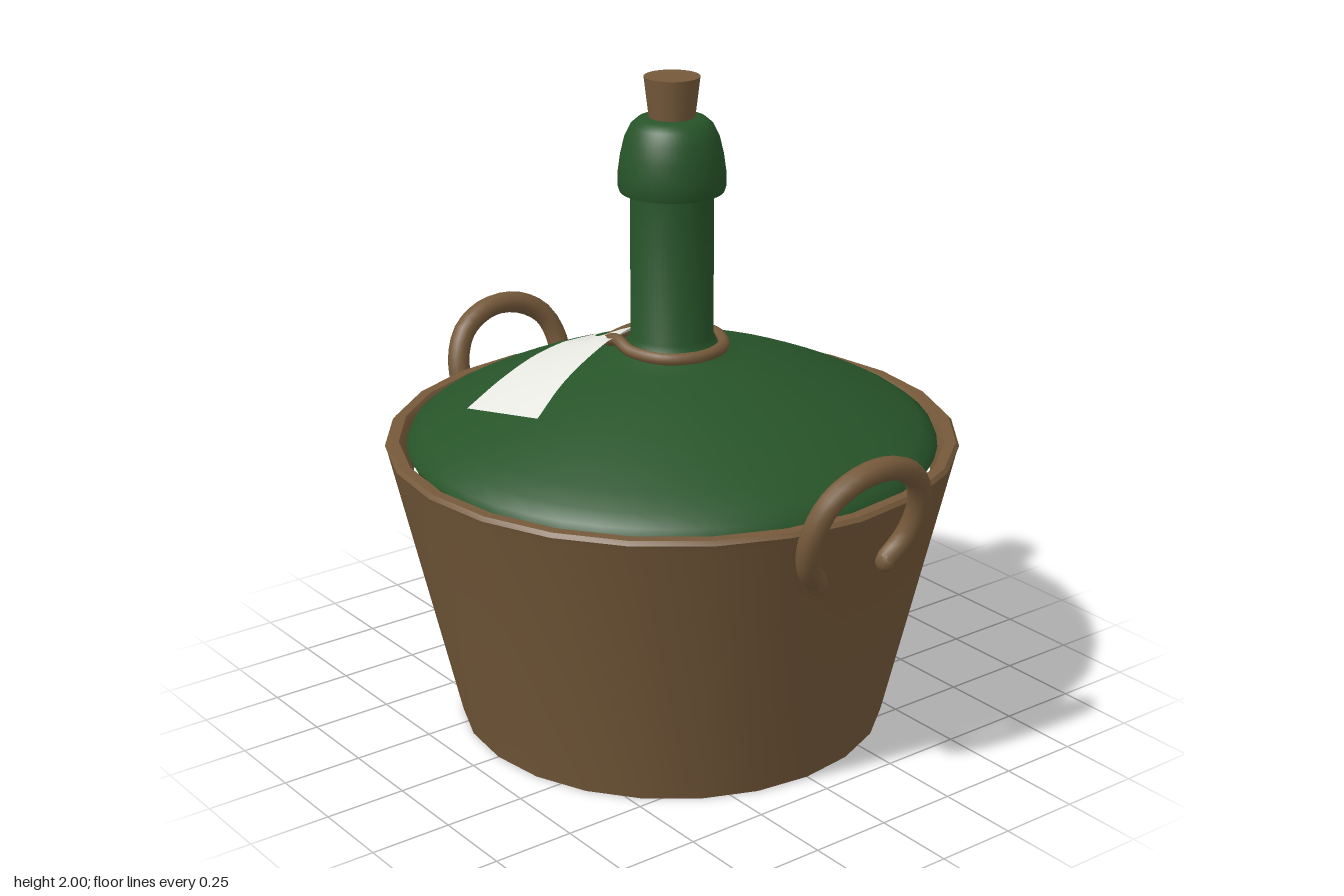
import * as THREE from 'three';
import { toCreasedNormals } from 'three/addons/utils/BufferGeometryUtils.js';

const wicker = new THREE.MeshStandardMaterial({ color: 0x75593a });
wicker.name = 'wicker brown';
const glass = new THREE.MeshStandardMaterial({ color: 0x275429 });
glass.name = 'bottle green';
const paper = new THREE.MeshStandardMaterial({ color: 0xe6e6e0, side: THREE.DoubleSide });
paper.name = 'paper white';

const v3 = (p) => new THREE.Vector3(...p);

function add(parent, name, geometry, material) {
  const mesh = new THREE.Mesh(geometry, material);
  mesh.name = name;
  parent.add(mesh);
  return mesh;
}

// Turned body from [radius, height] pairs, listed from bottom to top
function turned(profile, sides) {
  const points = profile.map(([r, y]) => new THREE.Vector2(r, y));
  return toCreasedNormals(new THREE.LatheGeometry(points, sides), 0.6);
}

// Horseshoe handle that leans outwards with the basket wall
function makeHandle() {
  const handle = new THREE.Group();
  const half = [
    [0.135, 0.735, 0.832], [0.182, 0.8, 0.856], [0.198, 0.9, 0.886],
    [0.16, 1.0, 0.912], [0.085, 1.052, 0.926],
  ];
  const mirrored = half.map(([x, y, z]) => [-x, y, z]).reverse();
  const path = new THREE.CatmullRomCurve3([...half, [0, 1.068, 0.93], ...mirrored].map(v3));
  add(handle, 'handleBow', new THREE.TubeGeometry(path, 28, 0.035, 10), wicker);
  for (const side of [1, -1]) {
    const tip = add(handle, 'handleTip', new THREE.SphereGeometry(0.035, 10, 8), wicker);
    tip.position.set(side * 0.135, 0.735, 0.832);
    tip.rotation.z = -side * 0.6;
    tip.scale.y = 1.2;
  }
  return handle;
}

// Curved tag surface: u runs along the tag to its pointed end, v across it
const farEdge = new THREE.CatmullRomCurve3([
  [-0.575, 1.03, -0.25], [-0.42, 1.085, -0.285], [-0.27, 1.125, -0.308],
  [-0.12, 1.148, -0.302], [0.03, 1.15, -0.255],
].map(v3));
const nearEdge = new THREE.CatmullRomCurve3([
  [-0.51, 1.065, 0.025], [-0.39, 1.13, -0.022], [-0.265, 1.184, -0.052],
  [-0.14, 1.226, -0.07], [-0.02, 1.235, -0.08],
].map(v3));

function bendTag(geometry) {
  const pos = geometry.attributes.position;
  for (let i = 0; i < pos.count; i++) {
    const u = THREE.MathUtils.clamp(pos.getX(i), 0, 1);
    const p = farEdge.getPoint(u).lerp(nearEdge.getPoint(u), pos.getY(i));
    pos.setXYZ(i, p.x, p.y, p.z);
  }
  geometry.computeVertexNormals();
  return geometry;
}

function makeTag() {
  const tag = new THREE.Group();
  const split = 0.65;
  const body = new THREE.PlaneGeometry(split, 1, 12, 6).translate(split / 2, 0.5, 0);
  add(tag, 'tagBody', bendTag(body), paper);
  // Clipped end with the string hole
  const end = new THREE.Shape();
  end.moveTo(split, 0);
  end.lineTo(0.84, 0);
  end.lineTo(1, 0.27);
  end.lineTo(1, 0.68);
  end.lineTo(0.82, 1);
  end.lineTo(split, 1);
  for (let k = 5; k > 0; k--) end.lineTo(split, k / 6);
  const hole = new THREE.Path();
  hole.absellipse(0.79, 0.52, 0.068, 0.17, 0, Math.PI * 2, true);
  end.holes.push(hole);
  add(tag, 'tagEnd', bendTag(new THREE.ShapeGeometry(end, 12)), paper);
  return tag;
}

export function createModel() {
  const model = new THREE.Group();
  model.name = 'basketBottle';

  // Basket with a flat rim and a short inner wall
  add(model, 'basket', turned([
    [0, 0], [0.66, 0], [0.863, 0.875], [0.87, 0.895], [0.86, 0.907],
    [0.828, 0.907], [0.815, 0.89], [0.79, 0.8],
  ], 24), wicker);

  // Bottle: shoulder and neck, then the rounded lip
  add(model, 'bottle', turned([
    [0.76, 0.8], [0.805, 0.89], [0.795, 0.915], [0.755, 0.945], [0.69, 0.98],
    [0.6, 1.022], [0.5, 1.064], [0.4, 1.1], [0.3, 1.133], [0.22, 1.155],
    [0.165, 1.17], [0.14, 1.185], [0.125, 1.215], [0.123, 1.68],
  ], 48), glass);
  add(model, 'bottleLip', turned([
    [0.12, 1.66], [0.155, 1.66], [0.16, 1.675], [0.159, 1.72], [0.152, 1.77],
    [0.14, 1.82], [0.122, 1.857], [0.1, 1.876], [0.07, 1.88], [0, 1.88],
  ], 48), glass);

  // Cork
  const cork = add(model, 'cork', new THREE.CylinderGeometry(0.083, 0.066, 0.14, 24), wicker);
  cork.position.y = 1.93;

  // Handles at front and back
  for (const [name, turn] of [['frontHandle', 0], ['backHandle', Math.PI]]) {
    const handle = makeHandle();
    handle.name = name;
    handle.rotation.y = turn;
    model.add(handle);
  }

  // String around the neck, dipping through the tag hole
  const stringPath = new THREE.CatmullRomCurve3([
    [0.155, 1.19, 0], [0.11, 1.185, 0.11], [0, 1.185, 0.155], [-0.11, 1.185, 0.11],
    [-0.155, 1.19, 0], [-0.15, 1.205, -0.07], [-0.125, 1.18, -0.15],
    [-0.06, 1.185, -0.168], [0, 1.19, -0.168], [0.105, 1.195, -0.12],
  ].map(v3), true);
  add(model, 'neckString', new THREE.TubeGeometry(stringPath, 48, 0.019, 8, true), wicker);

  const tag = makeTag();
  tag.name = 'paperTag';
  model.add(tag);
  return model;
}
